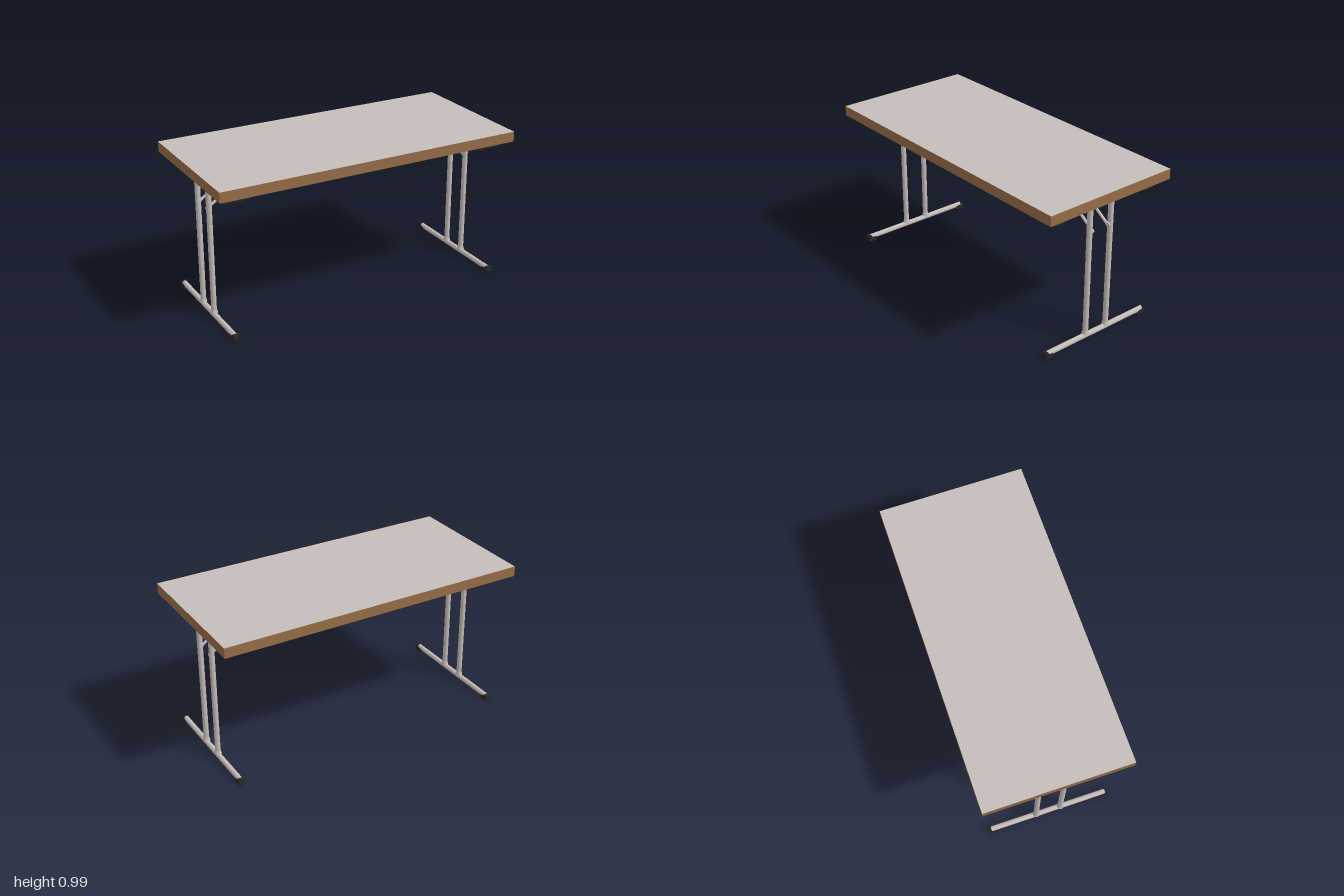
import * as THREE from 'three';

const mat = (name, color) => {
  const m = new THREE.MeshStandardMaterial({ color });
  m.name = name;
  return m;
};

export function createModel() {
  const table = new THREE.Group();
  table.name = 'foldingTable';
  const laminate = mat('grey laminate', 0xc6bdba);
  const wood = mat('wood edge', 0x966d47);
  const underside = mat('brown underside', 0x7a5738);
  const metal = mat('painted metal', 0xc4bbb7);
  const darkMetal = mat('dark rail', 0x5a5952);
  const rubber = mat('black plastic', 0x262726);

  const add = (name, geo, material, parent = table) => {
    const mesh = new THREE.Mesh(geo, material);
    mesh.name = name;
    parent.add(mesh);
    return mesh;
  };
  const box = (name, size, pos, material, parent) => {
    const mesh = add(name, new THREE.BoxGeometry(...size), material, parent);
    mesh.position.set(...pos);
    return mesh;
  };
  // Round bar between two points
  const bar = (name, a, b, r, material, parent, r2 = r) => {
    const p = new THREE.Vector3(...a), q = new THREE.Vector3(...b);
    const d = q.clone().sub(p);
    const mesh = add(name, new THREE.CylinderGeometry(r2, r, d.length(), 20), material, parent);
    mesh.position.copy(p).add(q).multiplyScalar(0.5);
    mesh.quaternion.setFromUnitVectors(new THREE.Vector3(0, 1, 0), d.normalize());
    return mesh;
  };

  // Table top: laminate surface, wooden edge, brown underside
  box('tableTop', [2, 0.065, 0.924], [0, 0.9525, 0],
    [wood, wood, laminate, underside, wood, wood]);

  // Moulded end cap of a foot, drawn in the z-y plane
  const capShape = new THREE.Shape([
    [0.345, 0.012], [0.352, 0], [0.402, 0], [0.405, 0.004], [0.405, 0.036],
    [0.398, 0.044], [0.388, 0.043], [0.384, 0.03], [0.358, 0.027], [0.345, 0.017],
  ].map(([z, y]) => new THREE.Vector2(z, y)));
  const capGeo = new THREE.ExtrudeGeometry(capShape, { depth: 0.037, bevelEnabled: false });
  capGeo.translate(0, 0, -0.0185).rotateY(-Math.PI / 2);

  for (const side of [-1, 1]) {
    const frame = new THREE.Group();
    frame.name = side > 0 ? 'leftLegFrame' : 'rightLegFrame';
    table.add(frame);
    const x = side * 0.91;

    bar('footBar', [x, 0.0265, -0.398], [x, 0.0265, 0.398], 0.0168, metal, frame);
    bar('topCrossBar', [x, 0.905, -0.082], [x, 0.905, 0.082], 0.011, metal, frame);

    for (const s of [-1, 1]) {
      const z = s * 0.082;
      bar('leg', [x, 0.03, z], [x, 0.92, z], 0.0172, metal, frame);
      bar('legWeld', [x, 0.038, z], [x, 0.062, z], 0.023, metal, frame, 0.0172);
      bar('bracePivot', [x, 0.722, s * 0.058], [x, 0.722, z], 0.014, metal, frame);

      const cap = add('footCap', capGeo, rubber, frame);
      cap.position.x = x;
      if (s < 0) cap.rotation.y = Math.PI;

      // Stacking pad, tapering slightly downwards
      const pad = box('stackingPad', [0.172, 0.05, 0.074], [side * 0.863, 0.896, s * 0.347], rubber, frame);
      const p = pad.geometry.attributes.position;
      for (let i = 0; i < p.count; i++) {
        if (p.getY(i) < 0) p.setXYZ(i, p.getX(i) * 0.97, p.getY(i), p.getZ(i) * 0.92);
      }
      pad.geometry.computeVertexNormals();
    }

    // U-shaped folding brace running from the legs up to the rails
    const path = new THREE.CurvePath();
    const v = (t, z) => new THREE.Vector3(side * (0.905 - 0.265 * t), 0.726 + 0.179 * t, z);
    path.add(new THREE.LineCurve3(v(0, 0.06), v(0.9, 0.06)));
    path.add(new THREE.QuadraticBezierCurve3(v(0.9, 0.06), v(1, 0.06), v(1, 0.042)));
    path.add(new THREE.LineCurve3(v(1, 0.042), v(1, -0.042)));
    path.add(new THREE.QuadraticBezierCurve3(v(1, -0.042), v(1, -0.06), v(0.9, -0.06)));
    path.add(new THREE.LineCurve3(v(0.9, -0.06), v(0, -0.06)));
    add('foldingBrace', new THREE.TubeGeometry(path, 100, 0.009, 10, false), metal, frame);
  }

  // Rails beneath the top, with cross plates between them
  box('frontRail', [1.76, 0.024, 0.016], [0, 0.908, 0.066], darkMetal);
  box('backRail', [1.76, 0.024, 0.016], [0, 0.908, -0.066], metal);
  for (const x of [-0.6, -0.3, 0, 0.3, 0.6]) {
    box('crossPlate', [0.05, 0.01, 0.12], [x, 0.913, 0], metal);
  }
  return table;
}
